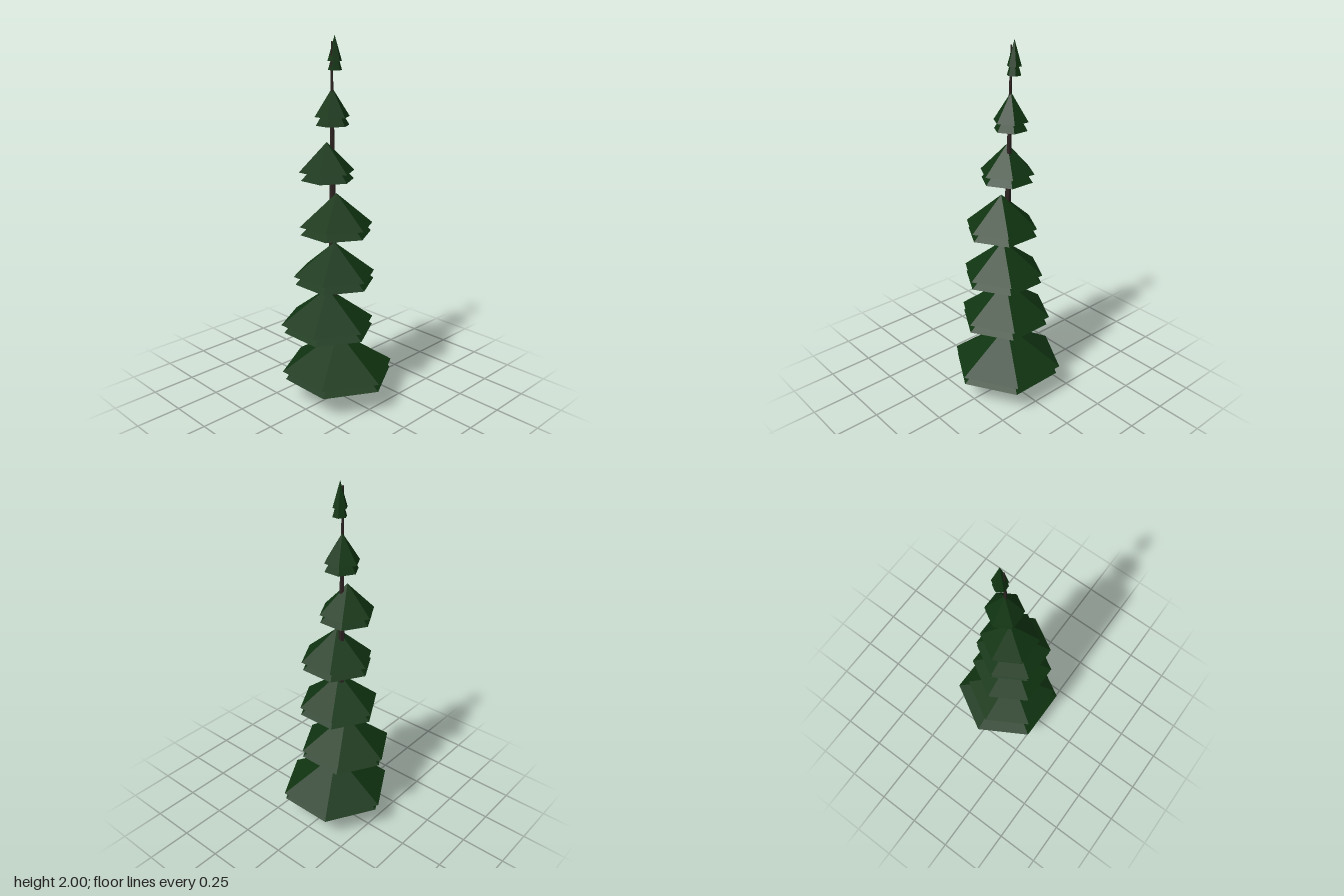
import * as THREE from 'three';

export function createModel() {
  const tree = new THREE.Group();
  tree.name = 'pineTree';

  const needles = new THREE.MeshStandardMaterial({ color: 0x103411 });
  needles.name = 'needleGreen';
  needles.flatShading = true;
  const bark = new THREE.MeshStandardMaterial({ color: 0x2e2323 });
  bark.name = 'barkBrown';
  bark.flatShading = true;

  // Trunk: tapered six-sided pole, sheared so that it leans slightly
  const trunkHeight = 1.97;
  const trunkGeometry = new THREE.CylinderGeometry(0.004, 0.036, trunkHeight, 6);
  trunkGeometry.translate(0, trunkHeight / 2, 0);
  const p = trunkGeometry.attributes.position;
  for (let i = 0; i < p.count; i++) {
    const t = p.getY(i) / trunkHeight;
    p.setX(i, p.getX(i) - 0.029 + 0.021 * t);
    p.setZ(i, p.getZ(i) - 0.004 - 0.032 * t);
  }
  trunkGeometry.computeVertexNormals();
  const trunk = new THREE.Mesh(trunkGeometry, bark);
  trunk.name = 'trunk';
  tree.add(trunk);

  // Six-sided closed cone placed by its base
  function addCone(parent, name, radius, height, x, y, z) {
    const cone = new THREE.Mesh(new THREE.ConeGeometry(radius, height, 6), needles);
    cone.name = name;
    cone.position.set(x, y + height / 2, z);
    parent.add(cone);
  }

  // Branch tiers: [x, z, upper radius, upper base y, apex y, lower x, lower z, lower radius]
  const tiers = [
    [0, 0, 0.318, 0.18, 0.39, 0, 0.007, 0.306],
    [-0.049, -0.032, 0.261, 0.463, 0.656, -0.047, -0.024, 0.252],
    [-0.028, 0.002, 0.226, 0.746, 0.925, -0.026, 0.004, 0.22],
    [-0.026, 0.016, 0.2, 1.025, 1.198, -0.025, 0.012, 0.195],
    [-0.042, -0.04, 0.15, 1.31, 1.464, -0.04, -0.036, 0.143],
    [-0.007, -0.034, 0.094, 1.593, 1.74, -0.006, -0.032, 0.09],
    [0.014, -0.037, 0.038, 1.872, 2.0, 0.014, -0.035, 0.037],
  ];
  tiers.forEach(([x, z, radius, base, apex, lx, lz, lowerRadius], i) => {
    const tier = new THREE.Group();
    tier.name = `branchTier${i + 1}`;
    addCone(tier, 'upperBranches', radius, apex - base, x, base, z);
    addCone(tier, 'lowerBranches', lowerRadius, apex - base, lx, base - 0.045, lz);
    tree.add(tier);
  });

  return tree;
}
